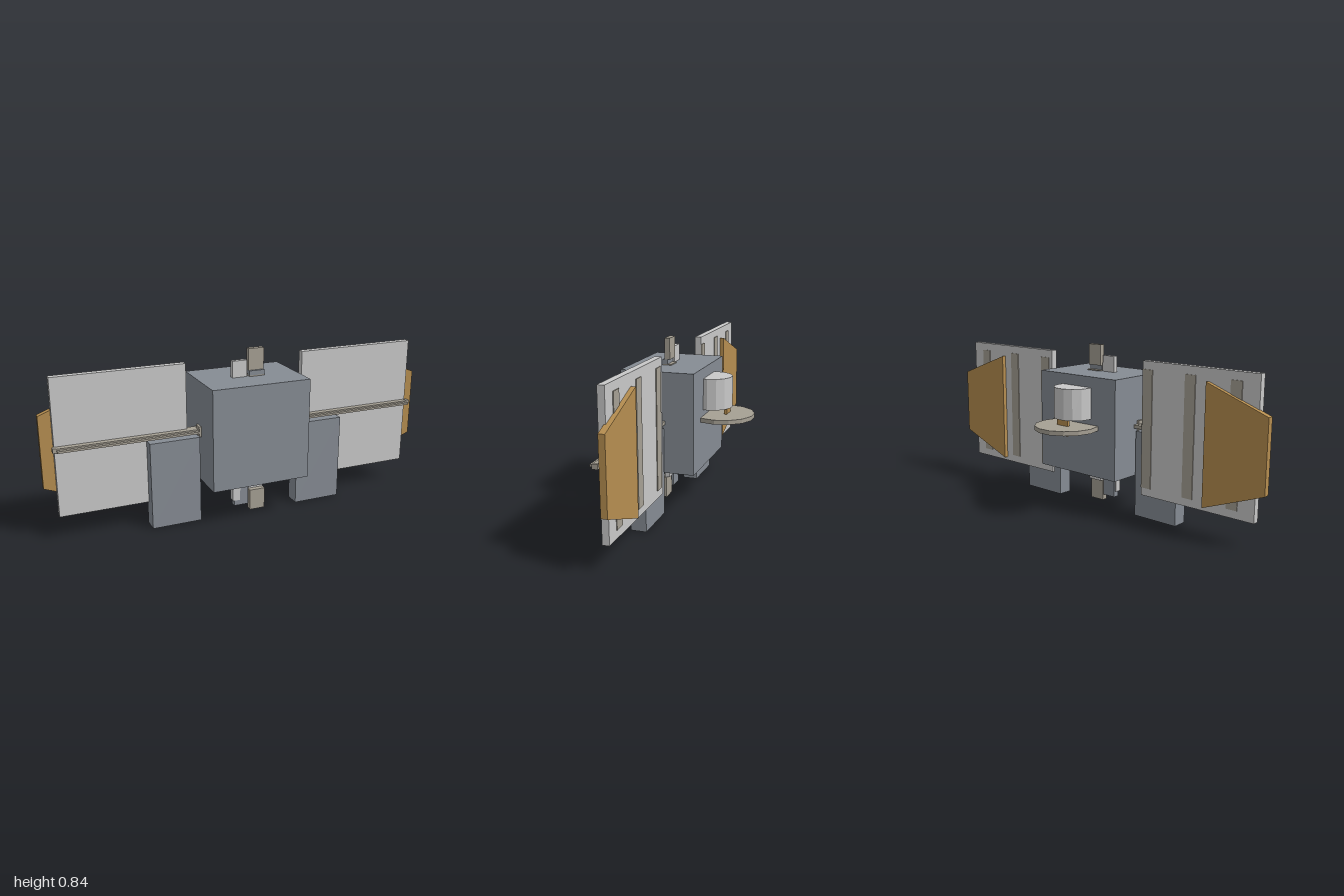
import * as THREE from 'three';

const mat = (name, color) => {
  const m = new THREE.MeshStandardMaterial({ color });
  m.name = name;
  return m;
};

export function createModel() {
  const model = new THREE.Group();
  model.name = 'satellite';
  const steel = mat('blueGrey', 0x868c94);
  const light = mat('lightGrey', 0xc9c9c9);
  const tan = mat('warmGrey', 0xa6a094);
  const gold = mat('gold', 0xb68e50);

  const add = (name, geometry, material) => {
    const mesh = new THREE.Mesh(geometry, material);
    mesh.name = name;
    model.add(mesh);
    return mesh;
  };
  // Box given by its lower and upper limits on each axis
  const box = (name, material, x0, x1, y0, y1, z0, z1) => {
    const g = new THREE.BoxGeometry(Math.abs(x1 - x0), y1 - y0, z1 - z0);
    g.translate((x0 + x1) / 2, (y0 + y1) / 2, (z0 + z1) / 2);
    return add(name, g, material);
  };
  // Upright faceted drum with a flat side facing the back
  const drum = (name, material, r, y0, y1, z) => {
    const n = 14;
    const g = new THREE.CylinderGeometry(r, r, y1 - y0, n, 1, false, Math.PI / n).toNonIndexed();
    g.rotateY(0);
    g.computeVertexNormals();
    g.translate(0, (y0 + y1) / 2, z);
    return add(name, g, material);
  };

  box('body', steel, -0.25, 0.25, 0.205, 0.707, -0.07, 0.30);

  for (const s of [1, -1]) {
    const side = s > 0 ? 'left' : 'right';
    box(side + 'Panel', light, s * 0.307, s * 0.942, 0.12, 0.792, 0.067, 0.10);
    box(side + 'LowerBlock', steel, s * 0.262, s * 0.511, 0, 0.437, 0.077, 0.155);

    // Ribs on the back of the panel
    const ribs = s > 0 ? [0.36, 0.60, 0.84] : [-0.338, -0.583, -0.826];
    for (const x of ribs) box(side + 'PanelRib', tan, x - 0.029, x + 0.029, 0.16, 0.752, 0.063, 0.07);

    // Boom across the front of the panel
    box(side + 'BoomHinge', tan, s * 0.25, s * 0.262, 0.435, 0.485, 0.10, 0.147);
    box(side + 'BoomBracket', tan, s * 0.25, s * 0.31, 0.45, 0.467, 0.075, 0.10);
    box(side + 'BoomRail', tan, s * 0.25, s * 0.94, 0.446, 0.468, 0.10, 0.13);
    box(side + 'BoomFrontRail', tan, s * 0.25, s * 0.935, 0.451, 0.461, 0.13, 0.147);
    box(side + 'BoomCap', tan, s * 0.935, s * 0.953, 0.448, 0.47, 0.103, 0.129);

    // Tapered outer wing
    const pts = [[0.68, 0.14], [1, 0.262], [1, 0.613], [0.68, 0.732]];
    const shape = new THREE.Shape(pts.map(([x, y]) => new THREE.Vector2(s * x, y)));
    const wing = new THREE.ExtrudeGeometry(shape, { depth: 0.03, bevelEnabled: false });
    wing.translate(0, 0, 0.045);
    add(side + 'OuterWing', wing, gold);
  }

  // Rear antenna
  drum('antennaDrum', light, 0.1, 0.497, 0.653, -0.091);
  drum('antennaDish', tan, 0.16, 0.445, 0.467, -0.144);
  box('antennaPeg', gold, -0.035, 0.035, 0.417, 0.497, -0.175, -0.159);

  // Instruments on the roof
  box('roofPlate', tan, 0, 0.08, 0.707, 0.712, 0.10, 0.147);
  box('roofMount', steel, 0, 0.08, 0.712, 0.735, 0.12, 0.147);
  box('roofSensor', tan, 0, 0.08, 0.735, 0.842, 0.108, 0.135);
  box('roofFin', light, -0.085, -0.01, 0.707, 0.789, 0.115, 0.138);

  // Instruments under the body
  box('underFin', light, 0, 0.08, 0.12, 0.205, 0.115, 0.14);
  box('underSensor', tan, 0, 0.08, 0.01, 0.117, 0.132, 0.161);
  box('underPlate', tan, -0.085, -0.01, 0.174, 0.205, 0.105, 0.15);
  box('underMount', steel, -0.085, -0.01, 0.045, 0.174, 0.125, 0.157);
  box('underLens', light, -0.094, -0.055, 0.075, 0.147, 0.13, 0.163);

  return model;
}
